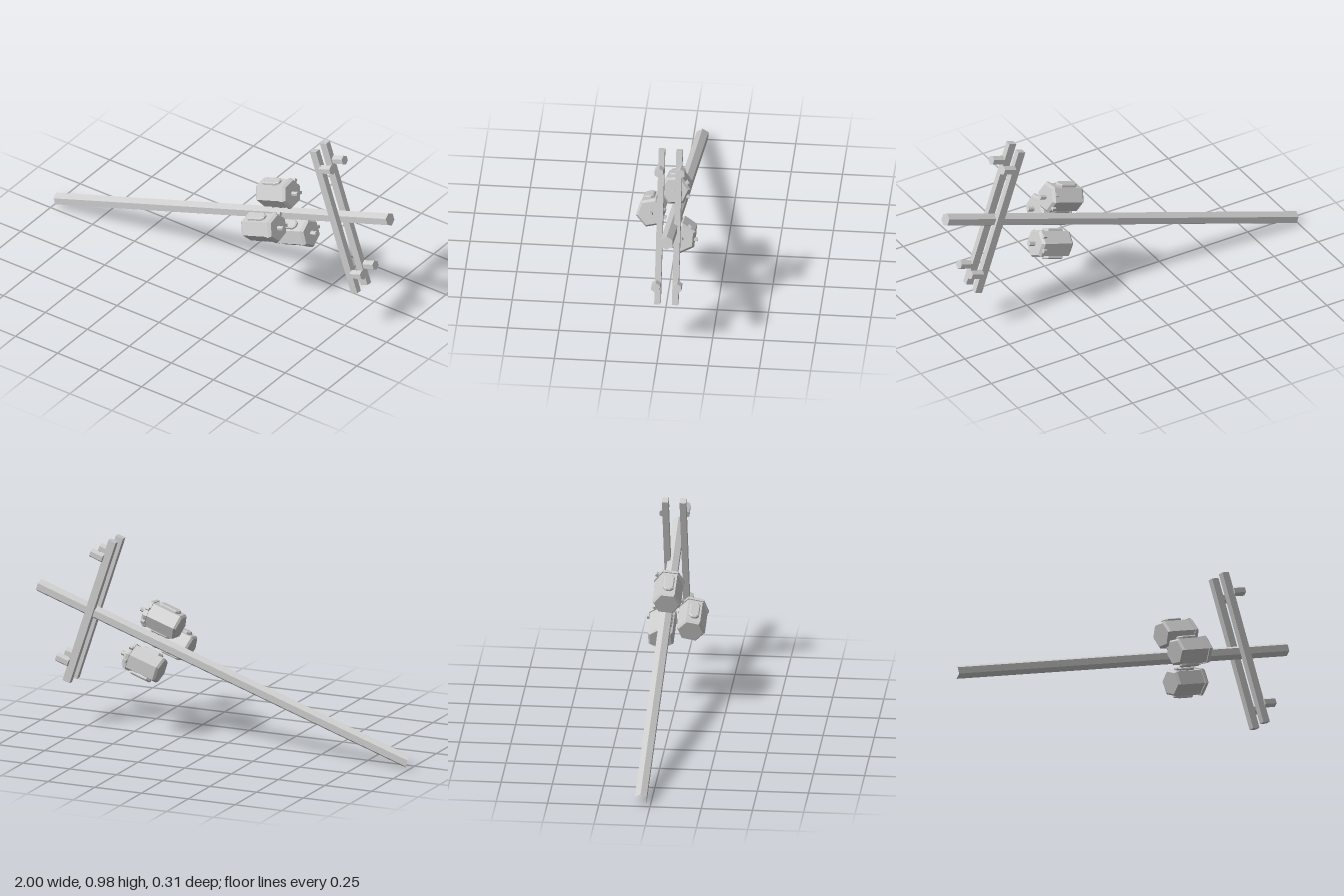
import * as THREE from 'three';

const mat = new THREE.MeshStandardMaterial({ color: 0xcccccc, flatShading: true });
const TILT = THREE.MathUtils.degToRad(-71.5); // the whole pole leans far over

function add(parent, name, geometry, x = 0, y = 0, z = 0) {
  const mesh = new THREE.Mesh(geometry, mat);
  mesh.name = name;
  mesh.position.set(x, y, z);
  parent.add(mesh);
  return mesh;
}

function tilted(parent, name, x, y, z) {
  const g = new THREE.Group();
  g.name = name;
  g.position.set(x, y, z);
  g.rotation.z = TILT;
  parent.add(g);
  return g;
}

// Six-sided bar with flats facing +z and -z
function hexBar(radius, length, open = false) {
  return new THREE.CylinderGeometry(radius, radius, length, 6, 1, open).rotateY(Math.PI / 6);
}

// Long plate with cut corners and a bevelled front, facing +x
function plateGeometry() {
  const w = 0.02, h = 0.05, c = 0.012;
  const shape = new THREE.Shape([
    [-w + c, -h], [w - c, -h], [w, -h + c], [w, h - c],
    [w - c, h], [-w + c, h], [-w, h - c], [-w, -h + c],
  ].map(([x, y]) => new THREE.Vector2(x, y)));
  return new THREE.ExtrudeGeometry(shape, {
    depth: 0.012, bevelEnabled: true, bevelThickness: 0.005, bevelSize: 0.005, bevelSegments: 1,
  }).rotateY(Math.PI / 2);
}

function transformer(parent, name, x, y, z, turnDegrees) {
  const holder = tilted(parent, name, x, y, z);
  const tank = new THREE.Group();
  tank.rotation.y = THREE.MathUtils.degToRad(turnDegrees);
  holder.add(tank);

  // Hexagonal can with chamfered base and overhanging lid
  const profile = [
    [0, -0.095], [0.06, -0.095], [0.07, -0.084], [0.07, 0.066],
    [0.076, 0.066], [0.076, 0.08], [0.064, 0.094], [0, 0.094],
  ].map(([r, h]) => new THREE.Vector2(r, h));
  add(tank, 'tank', new THREE.LatheGeometry(profile, 6));
  add(tank, 'lidTerminal', hexBar(0.012, 0.04), 0, 0.108, 0);

  // Plates on two opposite sides
  for (const turn of [0, Math.PI]) {
    const plate = add(tank, 'sidePlate', plateGeometry(), Math.cos(turn) * 0.058, -0.012, 0);
    plate.rotation.y = turn;
  }
  // Small lugs at the lid edge
  for (const side of [-1, 1]) {
    const lug = add(tank, 'lidLug', new THREE.BoxGeometry(0.016, 0.018, 0.02), side * 0.035, 0.076, -0.061);
    lug.rotation.y = -side * Math.PI / 6;
  }
}

export function createModel() {
  const model = new THREE.Group();
  model.name = 'utilityPole';

  // Pole, open at the foot
  const poleLength = 2.085;
  const pole = tilted(model, 'pole', 0, 0.367, -0.046);
  add(pole, 'shaft', hexBar(0.033, poleLength, true));
  add(pole, 'poleTop', new THREE.CircleGeometry(0.033, 6).rotateX(-Math.PI / 2), 0, poleLength / 2, 0);

  // Pair of crossarms with an insulator near each end
  const arms = tilted(model, 'crossarms', 0.703, 0.607, -0.031);
  for (const side of [-1, 1]) {
    add(arms, 'crossarm', new THREE.BoxGeometry(0.775, 0.04, 0.03), 0, 0, side * 0.043);
    for (const end of [-1, 1]) {
      add(arms, 'insulator', hexBar(0.024, 0.068), end * 0.288, 0.049, side * 0.052 - 0.003);
    }
  }

  // Three transformers clustered around the pole
  transformer(model, 'upperTransformer', 0.327, 0.598, -0.036, 6);
  transformer(model, 'frontTransformer', 0.325, 0.461, 0.082, 12);
  transformer(model, 'lowerTransformer', 0.412, 0.378, -0.074, 27);
  return model;
}
